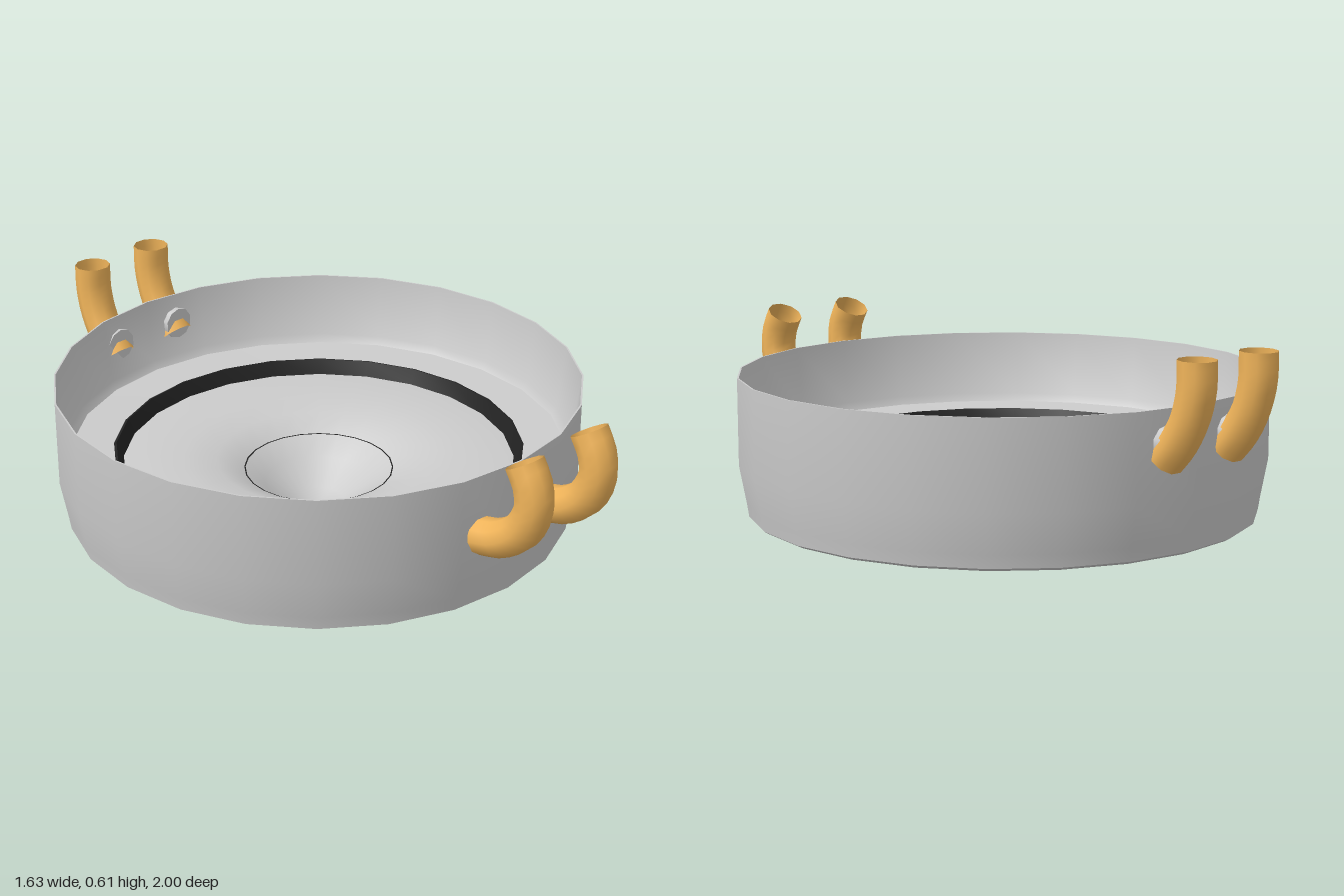
import * as THREE from 'three';
import { toCreasedNormals } from 'three/addons/utils/BufferGeometryUtils.js';

const SIDES = 24;
const CENTRE_Z = -0.04;

function material(color) {
  return new THREE.MeshStandardMaterial({ color, side: THREE.DoubleSide });
}

export function createModel() {
  const model = new THREE.Group();
  const grey = material(0xcccccc);
  const black = material(0x222222);
  const gold = material(0xf0b45a);

  function add(name, geometry, mat) {
    const mesh = new THREE.Mesh(geometry, mat);
    mesh.name = name;
    model.add(mesh);
    return mesh;
  }

  // Revolved part from [radius, height] pairs
  function turned(name, profile, mat, crease = 0.8) {
    const points = profile.map(([r, y]) => new THREE.Vector2(r, y));
    const geometry = toCreasedNormals(new THREE.LatheGeometry(points, SIDES), crease);
    add(name, geometry, mat).position.z = CENTRE_Z;
  }

  // Outer ring: rounded foot, upright wall with thin rim, inner ledge, hollow underside
  turned('outerRing', [
    [0.64, 0.23], [0.62, 0.19], [0.635, 0.1], [0.65, 0.045], [0.67, 0.03],
    [0.77, 0.03], [0.787, 0.04], [0.793, 0.08], [0.815, 0.2], [0.815, 0.467],
    [0.81, 0.467], [0.787, 0.26], [0.77, 0.235], [0.64, 0.23],
  ], grey);

  // Black tray holding the dish
  turned('tray', [
    [0.23, 0.15], [0.4, 0.17], [0.61, 0.185], [0.64, 0.232], [0.632, 0.234], [0.61, 0.185],
  ], black);

  // Dish with a central funnel that pokes through the tray
  turned('dish', [
    [0, 0.003], [0.08, 0.035], [0.17, 0.1], [0.24, 0.155], [0.32, 0.185],
    [0.42, 0.195], [0.53, 0.195], [0.615, 0.187],
  ], grey, 1.2);

  // Hook: open tube swept along [height, depth] pairs
  function hook(name, x, path) {
    const curve = new THREE.CatmullRomCurve3(path.map(([y, z]) => new THREE.Vector3(x, y, z)));
    add(name, new THREE.TubeGeometry(curve, 12, 0.057, 10, false), gold);
  }

  for (const x of [-0.14, 0.14]) {
    hook('frontHook', x, [
      [0.275, 0.755], [0.295, 0.83], [0.35, 0.905], [0.43, 0.942], [0.5, 0.935], [0.56, 0.902],
    ]);
  }

  for (const x of [-0.145, 0.105]) {
    hook('backHook', x, [
      [0.325, -0.835], [0.38, -0.885], [0.45, -0.925], [0.53, -0.946], [0.615, -0.947],
    ]);
    // Short stub joining the hook to the wall
    const stub = add('hookStub', new THREE.CylinderGeometry(0.052, 0.052, 0.07, 10), grey);
    stub.rotation.x = Math.PI / 2;
    stub.position.set(x, 0.37, -0.85);
  }

  return model;
}
